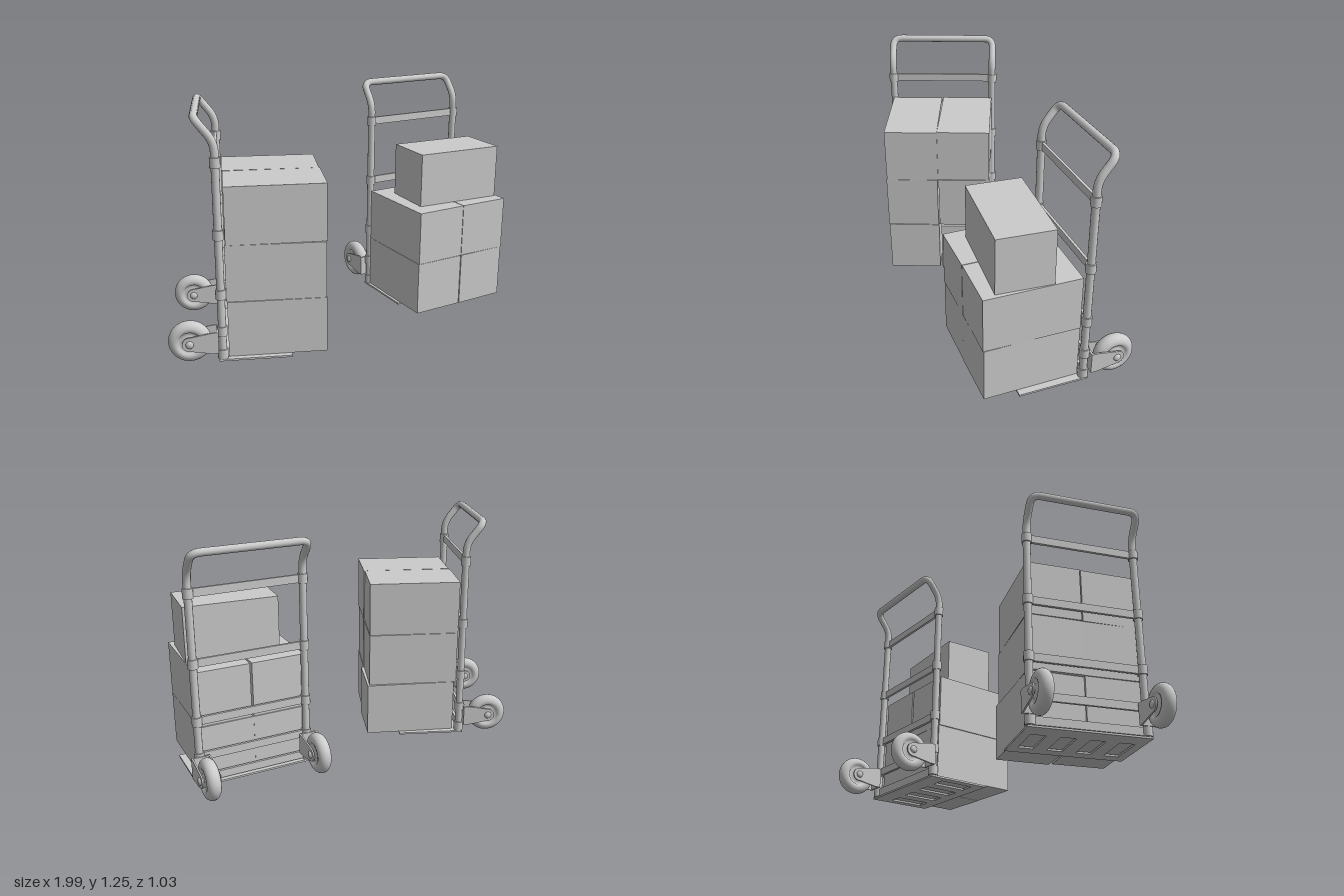
import * as THREE from 'three';

const grey = new THREE.MeshStandardMaterial({ color: 0xcccccc, side: THREE.DoubleSide });
const HALF = 0.294; // half the distance between the two posts
const WHEEL_Y = 0.115, WHEEL_Z = -0.16;

function add(parent, name, geometry, x = 0, y = 0, z = 0) {
  const mesh = new THREE.Mesh(geometry, grey);
  mesh.name = name;
  mesh.position.set(x, y, z);
  parent.add(mesh);
  return mesh;
}

// Polyline with each inner corner rounded off over the given distance
function roundedPath(points, radii) {
  const path = new THREE.CurvePath();
  let from = points[0];
  for (let i = 1; i < points.length - 1; i++) {
    const p = points[i], r = radii[i - 1];
    const a = p.clone().add(points[i - 1].clone().sub(p).setLength(r));
    const b = p.clone().add(points[i + 1].clone().sub(p).setLength(r));
    path.add(new THREE.LineCurve3(from, a));
    path.add(new THREE.QuadraticBezierCurve3(a, p, b));
    from = b;
  }
  path.add(new THREE.LineCurve3(from, points[points.length - 1]));
  return path;
}

// Side plate of a wheel fork: tall at the post, rounded at the axle
function forkGeometry() {
  const s = new THREE.Shape();
  s.moveTo(0.02, 0.06);
  s.lineTo(0.05, 0.06);
  s.lineTo(-WHEEL_Z - 0.005, WHEEL_Y - 0.037);
  s.absarc(-WHEEL_Z, WHEEL_Y, 0.037, -Math.PI / 2, Math.PI / 2, false);
  s.lineTo(0.05, 0.172);
  s.lineTo(0.02, 0.172);
  const g = new THREE.ExtrudeGeometry(s, { depth: 0.008, bevelEnabled: false, curveSegments: 16 });
  g.translate(0, 0, -0.004);
  return g.rotateY(Math.PI / 2); // shape x becomes -z
}

// Tyre and hub turned around the axle
function wheelGeometry() {
  const half = [];
  for (let i = 0; i <= 8; i++) {
    const a = (i / 8) * Math.PI / 2;
    half.push([0.07 + 0.037 * Math.sin(a), 0.036 * Math.cos(a)]);
  }
  const side = [[0, 0.03], [0.035, 0.03], [0.037, 0.024], [0.054, 0.024], [0.058, 0.033], ...half];
  const profile = side.concat(side.slice(0, -1).reverse().map(([r, h]) => [r, -h]));
  const g = new THREE.LatheGeometry(profile.reverse().map(([r, h]) => new THREE.Vector2(r, h)), 40);
  return g.rotateZ(Math.PI / 2);
}

function wheelUnit(side) {
  const unit = new THREE.Group();
  unit.name = side > 0 ? 'leftWheelUnit' : 'rightWheelUnit';
  unit.position.x = side * HALF;
  add(unit, 'wheel', wheelGeometry(), 0, WHEEL_Y, WHEEL_Z);
  add(unit, 'forkBase', new THREE.BoxGeometry(0.096, 0.112, 0.01), 0, 0.116, -0.024);
  for (const s of [-1, 1]) {
    add(unit, 'forkPlate', forkGeometry(), s * 0.044);
    const bolt = new THREE.SphereGeometry(0.02, 16, 8);
    bolt.scale(0.6, 1, 1);
    add(unit, 'axleBolt', bolt, s * 0.048, WHEEL_Y, WHEEL_Z);
  }
  add(unit, 'axle', new THREE.CylinderGeometry(0.012, 0.012, 0.09, 12).rotateZ(Math.PI / 2), 0, WHEEL_Y, WHEEL_Z);
  return unit;
}

// Load plate with a row of slots
function toePlateGeometry() {
  const s = new THREE.Shape();
  s.moveTo(-0.313, 0.02);
  s.lineTo(0.313, 0.02);
  s.lineTo(0.313, -0.347);
  s.lineTo(-0.313, -0.347);
  for (let i = 0; i < 4; i++) {
    const x = -0.225 + i * 0.15;
    const hole = new THREE.Path();
    hole.moveTo(x - 0.04, -0.08);
    hole.lineTo(x - 0.04, -0.28);
    hole.lineTo(x + 0.04, -0.28);
    hole.lineTo(x + 0.04, -0.08);
    s.holes.push(hole);
  }
  const g = new THREE.ExtrudeGeometry(s, { depth: 0.01, bevelEnabled: false });
  return g.rotateX(-Math.PI / 2);
}

function createTrolley() {
  const trolley = new THREE.Group();
  // Posts and handle are one bent tube
  const V = (x, y, z) => new THREE.Vector3(x, y, z);
  const path = roundedPath([
    V(-HALF, 0.012, 0), V(-HALF, 1.115, 0), V(-HALF, 1.23, -0.09),
    V(HALF, 1.23, -0.09), V(HALF, 1.115, 0), V(HALF, 0.012, 0),
  ], [0.05, 0.05, 0.05, 0.05]);
  add(trolley, 'tubeFrame', new THREE.TubeGeometry(path, 240, 0.02, 14));

  // Cross slats with a clamp on each post
  for (const y of [1.02, 0.665, 0.358, 0.162, 0.038]) {
    add(trolley, 'crossSlat', new THREE.BoxGeometry(HALF * 2, 0.042, 0.014), 0, y, 0);
    for (const s of [-1, 1])
      add(trolley, 'clamp', new THREE.CylinderGeometry(0.026, 0.026, 0.05, 16), s * HALF, y, 0);
  }
  add(trolley, 'toePlate', toePlateGeometry());
  for (const s of [-1, 1]) trolley.add(wheelUnit(s));
  return trolley;
}

// Cartons as [x, layer, z, turn], each on its layer's height
function addCartons(trolley, list) {
  for (const [x, layer, z, turn] of list) {
    const box = add(trolley, 'carton', new THREE.BoxGeometry(0.289, 0.294, 0.497), x, 0.16 + layer * 0.2965, z);
    box.rotation.y = turn;
  }
}

export function createModel() {
  const model = new THREE.Group();
  model.name = 'loadedHandTrucks';

  const first = createTrolley();
  first.name = 'rightHandTruck';
  first.position.set(-0.66, 0, 0.08);
  first.rotation.y = 1.281;
  addCartons(first, [
    [-0.146, 0, 0.278, 0], [0.15, 0, 0.288, 0.03],
    [-0.146, 1, 0.276, -0.01], [0.146, 1, 0.274, 0.005],
    [-0.147, 2, 0.278, 0.01], [0.146, 2, 0.272, -0.005],
  ]);
  model.add(first);

  const second = createTrolley();
  second.name = 'leftHandTruck';
  second.position.set(0.648, 0, -0.225);
  second.rotation.y = 0.094;
  addCartons(second, [
    [-0.157, 0, 0.272, 0], [0.134, 0, 0.272, 0.01],
    [-0.158, 1, 0.274, 0.005], [0.138, 1, 0.274, -0.01],
    [0.024, 2, 0.298, Math.PI / 2 - 0.072],
  ]);
  model.add(second);
  return model;
}
